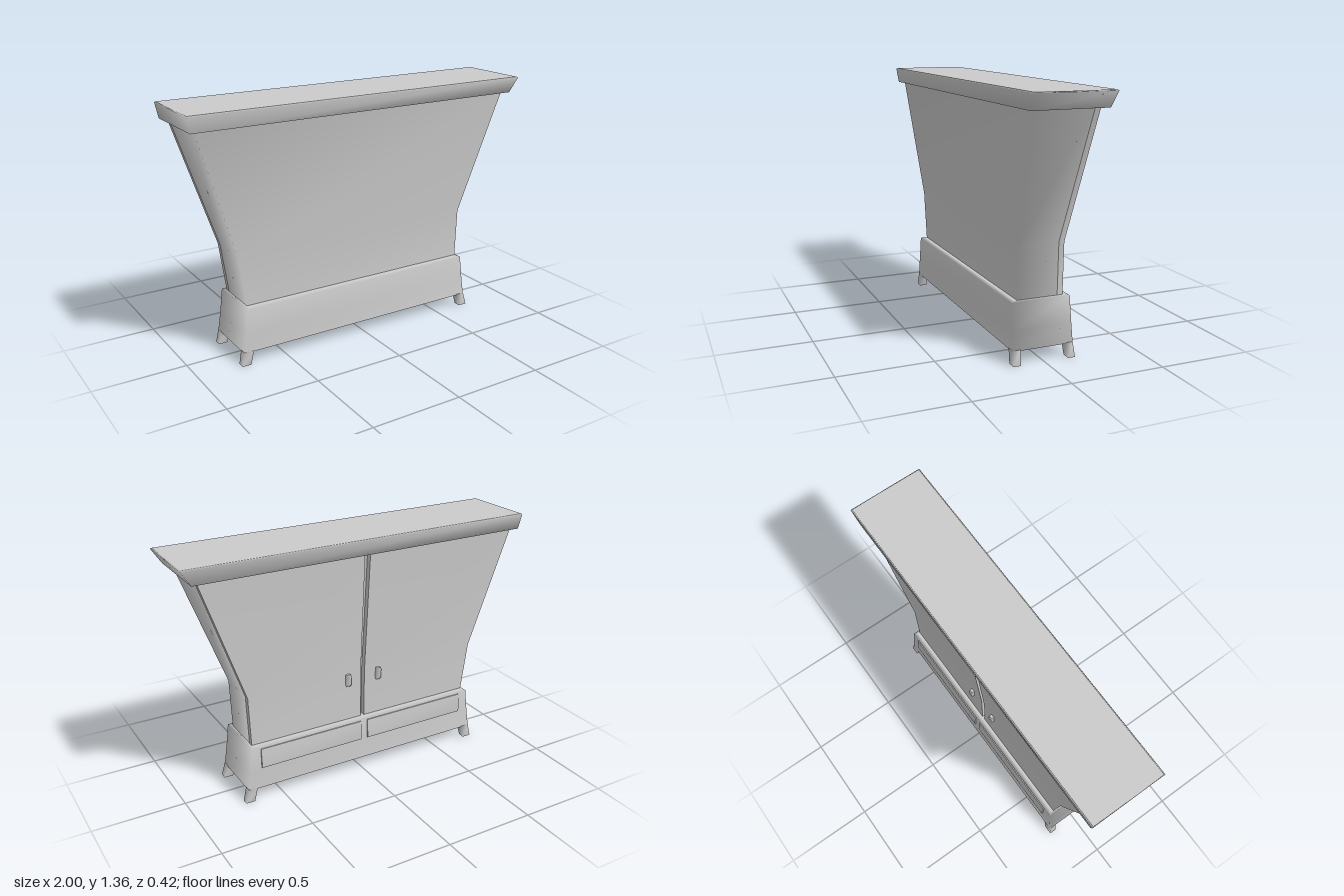
import * as THREE from 'three';
import { mergeVertices, toCreasedNormals } from 'three/addons/utils/BufferGeometryUtils.js';

const material = new THREE.MeshStandardMaterial({ color: 0xcccccc });

// Loft through rectangular rings [y, xLeft, xRight, zFront, zBack], bottom to top.
// Sides share smooth normals, or are creased by angle; caps stay flat.
function loft(name, rings, crease) {
  const positions = [];
  const index = [];
  const add = ([y, x0, x1, zf, zb]) =>
    positions.push(x0, y, zf, x1, y, zf, x1, y, zb, x0, y, zb);
  rings.forEach(add);
  for (let r = 0; r < rings.length - 1; r++) {
    for (let i = 0; i < 4; i++) {
      const a = r * 4 + i, b = r * 4 + (i + 1) % 4;
      index.push(a, b, b + 4, a, b + 4, a + 4);
    }
  }
  // Caps with their own corners
  const n = rings.length * 4;
  add(rings[0]);
  add(rings[rings.length - 1]);
  index.push(n, n + 2, n + 1, n, n + 3, n + 2);
  index.push(n + 4, n + 5, n + 6, n + 4, n + 6, n + 7);

  let geometry = new THREE.BufferGeometry();
  geometry.setAttribute('position', new THREE.Float32BufferAttribute(positions, 3));
  geometry.setIndex(index);
  if (crease) geometry = toCreasedNormals(mergeVertices(geometry), crease);
  else geometry.computeVertexNormals();
  const mesh = new THREE.Mesh(geometry, material);
  mesh.name = name;
  return mesh;
}

export function createModel() {
  const model = new THREE.Group();
  model.name = 'wardrobe';

  // Flared cabinet shell running out into the cornice
  model.add(loft('cabinetAndCornice', [
    [0.305, -0.70, 0.655, 0.125, -0.095],
    [0.59, -0.74, 0.665, 0.125, -0.095],
    [1.27, -0.955, 0.91, 0.17, -0.14],
    [1.27, -0.985, 0.945, 0.20, -0.20],
    [1.35, -1.0, 0.997, 0.21, -0.21],
    [1.355, -0.997, 0.99, 0.203, -0.203],
  ]));

  // Doors on the back, split by a narrow gap
  const rows = [
    [0.305, -0.70, 0.655, 0.010, -0.125],
    [0.59, -0.74, 0.665, 0.012, -0.125],
    [1.27, -0.955, 0.91, 0.016, -0.17],
  ];
  const split = -0.02;
  const doors = {
    leftDoor: ([y, , x1, gap, z]) => [y, split + gap, x1, z + 0.03, z],
    rightDoor: ([y, x0, , gap, z]) => [y, x0, split - gap, z + 0.03, z],
  };
  for (const [name, ring] of Object.entries(doors)) {
    model.add(loft(name, rows.map(ring), 0.7));
  }

  // Door handles
  for (const side of [-1, 1]) {
    const x = split + side * 0.095;
    model.add(loft(side > 0 ? 'leftHandle' : 'rightHandle', [
      [0.52, x - 0.011, x + 0.011, -0.115, -0.138],
      [0.53, x - 0.013, x + 0.013, -0.115, -0.143],
      [0.58, x - 0.013, x + 0.013, -0.115, -0.146],
      [0.59, x - 0.011, x + 0.011, -0.115, -0.140],
    ]));
  }

  // Plinth, slightly splayed, with a bevelled top ledge
  model.add(loft('base', [
    [0.07, -0.745, 0.70, 0.166, -0.164],
    [0.17, -0.73, 0.685, 0.164, -0.162],
    [0.31, -0.715, 0.67, 0.16, -0.158],
    [0.315, -0.70, 0.655, 0.14, -0.138],
  ]));

  // Drawer fronts on the back of the plinth
  const drawers = { leftDrawer: [0.01, 0.62], rightDrawer: [-0.66, -0.03] };
  for (const [name, [x0, x1]] of Object.entries(drawers)) {
    model.add(loft(name, [
      [0.19, x0, x1, -0.15, -0.169],
      [0.205, x0, x1, -0.15, -0.171],
      [0.30, x0, x1, -0.15, -0.164],
    ], 0.7));
  }

  // Splayed feet at the four corners
  const feetX = { right: [-0.76, -0.71, -0.745, -0.69], left: [0.67, 0.72, 0.65, 0.70] };
  const feetZ = { Front: [0.17, 0.13, 0.166, 0.125], Back: [-0.13, -0.168, -0.125, -0.164] };
  for (const [side, [a, b, c, d]] of Object.entries(feetX)) {
    for (const [end, [e, f, g, h]] of Object.entries(feetZ)) {
      model.add(loft(side + end + 'Foot', [[0, a, b, e, f], [0.075, c, d, g, h]]));
    }
  }

  return model;
}
